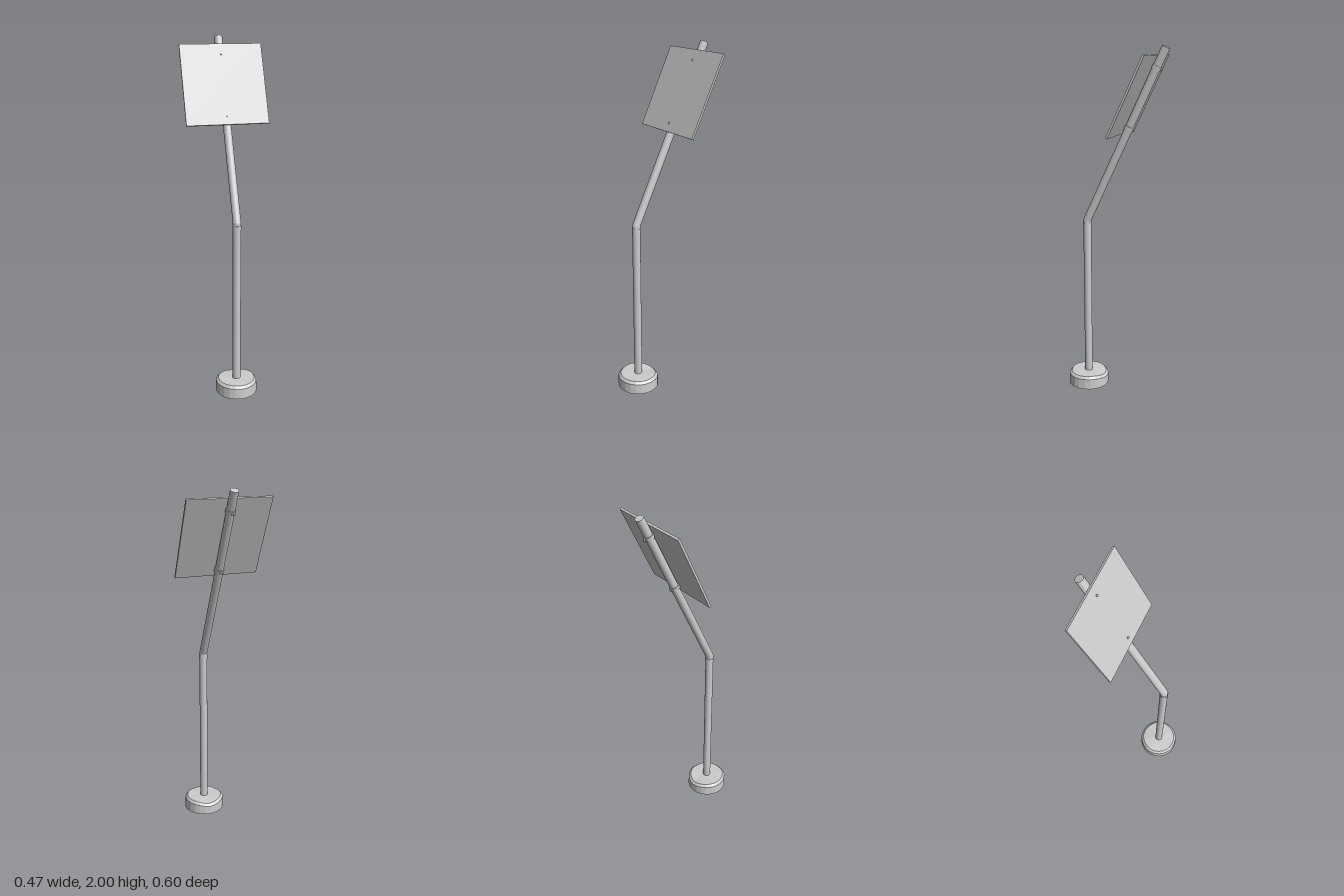
import * as THREE from 'three';

const POLE_R = 0.023, BEND_Y = 1.02, POST_Z = 0.18, TILT = 0.438, ARM = 1.073;

export function createModel() {
  const model = new THREE.Group();
  const steel = new THREE.MeshStandardMaterial({ color: 0xcccccc });
  steel.name = 'galvanised grey';

  const add = (parent, name, geometry, x = 0, y = 0, z = 0) => {
    const mesh = new THREE.Mesh(geometry, steel);
    mesh.name = name;
    mesh.position.set(x, y, z);
    parent.add(mesh);
    return mesh;
  };

  // Pole section with one end cut at the mitre angle of the bend
  const mitredPole = (length, end, slope) => {
    const g = new THREE.CylinderGeometry(POLE_R, POLE_R, length, 24);
    const p = g.attributes.position;
    for (let i = 0; i < p.count; i++) {
      if (p.getY(i) * end > 0) p.setY(i, p.getY(i) + p.getZ(i) * slope);
    }
    return g;
  };
  const slope = Math.tan(TILT / 2);

  // Rough cast foot with a socket underneath and an uneven, chamfered rim
  const profile = [[0.022, 0.06], [0.022, 0], [0.12, 0], [0.12, 0.064], [0.106, 0.078], [0.022, 0.077]]
    .map(([r, y]) => new THREE.Vector2(r, y));
  const lathe = new THREE.LatheGeometry(profile, 22);
  const p = lathe.attributes.position;
  for (let i = 0; i < p.count; i++) {
    const x = p.getX(i), y = p.getY(i), z = p.getZ(i);
    if (Math.hypot(x, z) < 0.05 || y < 0.01) continue;
    const a = Math.atan2(x, z);
    const wobble = 0.5 + 0.5 * Math.sin(3 * a + 0.7) * Math.cos(2 * a);
    const dip = Math.exp(-8 * (1 + Math.cos(a)));
    const k = 1 - 0.03 * wobble;
    p.setXYZ(i, x * k, y - 0.004 * wobble - 0.012 * dip, z * k);
  }
  const foot = lathe.toNonIndexed();
  foot.computeVertexNormals();
  add(model, 'foot', foot, 0, 0, POST_Z);

  // Upright post
  const postLength = BEND_Y - 0.04;
  add(model, 'post', mitredPole(postLength, 1, slope), 0, 0.04 + postLength / 2, POST_Z);

  // Leaning arm; its local y runs along the pole, local +z is the panel side
  const arm = new THREE.Group();
  arm.name = 'leaningArm';
  arm.position.set(0, BEND_Y, POST_Z);
  arm.rotation.x = -TILT;
  model.add(arm);
  add(arm, 'armPole', mitredPole(ARM, -1, -slope), 0, ARM / 2, 0);

  // Thin collar below the bend
  add(model, 'bendCollar', new THREE.CylinderGeometry(0.0248, 0.0248, 0.025, 24), 0, 0.995, POST_Z);

  // Square panel
  add(arm, 'panel', new THREE.BoxGeometry(0.47, 0.468, 0.012), 0, 0.781, 0.03);

  // Clamps and through bolts
  for (const s of [0.596, 0.955]) {
    add(arm, 'clamp', new THREE.CylinderGeometry(0.027, 0.027, 0.022, 24), 0, s, 0);
    const bolt = add(arm, 'bolt', new THREE.CylinderGeometry(0.007, 0.007, 0.072, 12), 0, s, 0.004);
    bolt.rotation.x = Math.PI / 2;
  }
  return model;
}
